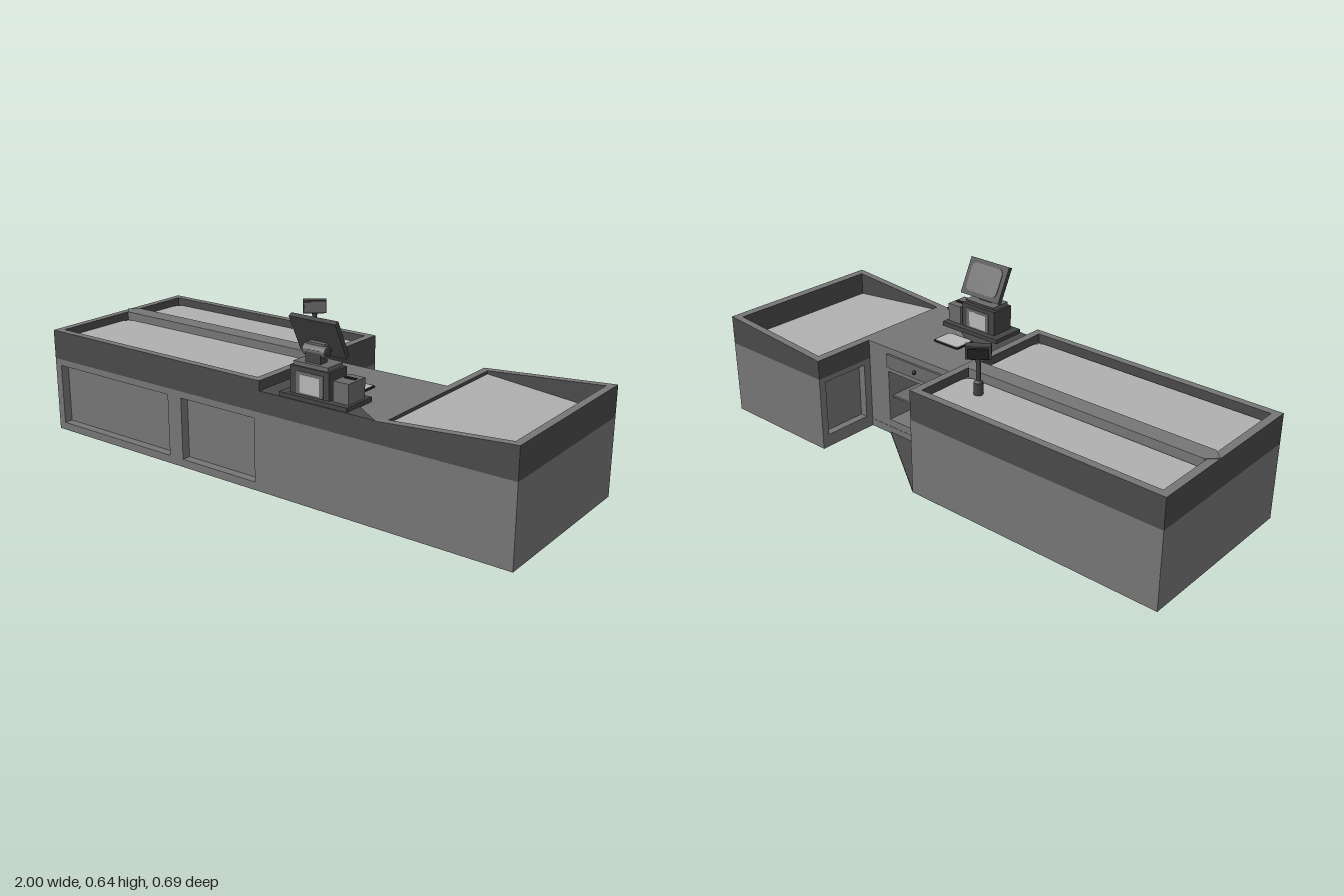
import * as THREE from 'three';

const mat = (name, color) => {
  const m = new THREE.MeshStandardMaterial({ color });
  m.name = name;
  return m;
};

export function createModel() {
  const root = new THREE.Group();
  root.name = 'checkoutCounter';
  const body = mat('bodyGrey', 0x767676);
  const band = mat('bandGrey', 0x4a4a4a);
  const belt = mat('beltGrey', 0xb0b0b0);
  const dark = mat('deviceDark', 0x444444);
  const mid = mat('deviceGrey', 0x6a6a6a);
  const pale = mat('displayPale', 0xb8b8b8);
  const black = mat('trimBlack', 0x222222);

  const add = (name, geo, m, parent = root) => {
    const mesh = new THREE.Mesh(geo, m);
    mesh.name = name;
    parent.add(mesh);
    return mesh;
  };
  // Box from its limits
  const box = (name, m, x0, x1, y0, y1, z0, z1, parent = root) => {
    const g = new THREE.BoxGeometry(x1 - x0, y1 - y0, z1 - z0);
    g.translate((x0 + x1) / 2, (y0 + y1) / 2, (z0 + z1) / 2);
    return add(name, g, m, parent);
  };
  const poly = (pts) => new THREE.Shape(pts.map(([a, b]) => new THREE.Vector2(a, b)));
  const rect = (a0, a1, b0, b1) => poly([[a0, b0], [a1, b0], [a1, b1], [a0, b1]]);
  const rounded = (a0, a1, b0, b1, r) => {
    const s = new THREE.Shape();
    s.absarc(a1 - r, b1 - r, r, 0, Math.PI / 2);
    s.absarc(a0 + r, b1 - r, r, Math.PI / 2, Math.PI);
    s.absarc(a0 + r, b0 + r, r, Math.PI, Math.PI * 1.5);
    s.absarc(a1 - r, b0 + r, r, Math.PI * 1.5, Math.PI * 2);
    return s;
  };
  const extrude = (shape, depth, holes = []) => {
    shape.holes.push(...holes);
    return new THREE.ExtrudeGeometry(shape, { depth, bevelEnabled: false, curveSegments: 6 });
  };
  // Horizontal slab: shape is drawn in (x, -z)
  const slab = (shape, y0, y1, holes) =>
    extrude(shape, y1 - y0, holes).rotateX(-Math.PI / 2).translate(0, y0, 0);

  const Z = 0.344, H = 0.403, B = 0.29, T = 0.365;

  // Lower body of the belt section
  box('beltBody', body, -1, 0.03, 0, B, -Z, 0.31);
  // Front skin with two recessed panels
  add('frontSkin', extrude(rect(-1, 0.5, 0, B), Z - 0.31,
    [rect(-0.97, -0.4, 0.03, 0.265), rect(-0.335, 0.005, 0.03, 0.265)]).translate(0, 0, 0.31), body);

  // Belt surround, recess floor and the two belts
  add('beltRim', slab(rect(-1, 0.03, -Z, Z), B, H, [rect(-0.97, 0.0, -0.315, 0.315)]), [body, band]);
  box('beltBed', body, -0.98, 0.01, B, 0.368, -0.32, 0.32);
  [[-0.305, 0.012], [0.09, 0.31]].forEach(([b0, b1], i) =>
    add(i ? 'rearBelt' : 'frontBelt', slab(rounded(-0.965, -0.005, b0, b1, 0.035), 0.368, 0.374), belt));
  // Divider between the belts with tapered ends
  add('beltDivider', slab(poly([[-1, 0.05], [-0.965, 0.015], [-0.005, 0.015], [0.03, 0.05],
    [-0.005, 0.085], [-0.965, 0.085]]), 0.366, H + 0.002), body);

  // Cashier section, open at the rear
  box('cashierTop', body, 0.03, 0.5, 0.35, T, -0.09, 0.31);
  box('cashierFrontBand', [band, band, body, band, band, band], 0.03, 0.5, B, T, 0.31, Z);
  box('cashierFloor', body, 0.03, 0.5, 0, 0.03, -0.09, 0.31);
  box('cashierCore', body, 0.03, 0.5, 0.03, 0.35, 0.12, 0.31);
  add('cashierRearFrame', extrude(rect(0.03, 0.5, 0.03, 0.35), 0.21,
    [rect(0.1, 0.4, 0.06, 0.265)]).translate(0, 0, -0.089), body);
  box('drawerFront', mid, 0.1, 0.4, 0.285, 0.34, -0.098, -0.088);
  add('drawerKnob', new THREE.SphereGeometry(0.008, 10, 8).translate(0.25, 0.312, -0.102), black);
  box('nicheShelf', mid, 0.1, 0.4, 0.15, 0.158, -0.07, 0.12);
  // Floor plate beside the cashier
  add('footPlate', slab(poly([[0.03, 0.09], [0.4, 0.09], [0.03, Z]]), 0, 0.006), band);
  // Dark inlay on the counter top
  add('counterInlay', slab(poly([[0.0, 0], [0.0, -Z], [0.5, -Z]]), T - 0.003, T + 0.002), band);
  // Scanner window
  add('scannerFrame', slab(rounded(0.188, 0.314, -0.16, -0.066, 0.012), T, T + 0.004), black);
  add('scannerGlass', slab(rounded(0.194, 0.308, -0.154, -0.072, 0.01), T, T + 0.006), pale);

  // Bagging section with a side recess
  box('baggingBody', body, 0.53, 1, 0, B, -Z, Z);
  add('baggingSideSkin', extrude(rect(-Z, Z, 0, B), 0.03, [rect(0.12, 0.315, 0.05, 0.27)])
    .rotateY(Math.PI / 2).translate(0.5, 0, 0), body);
  // Rim and tray floor slope along x
  const slope = (g, limit, f) => {
    const p = g.attributes.position;
    for (let i = 0; i < p.count; i++) if (p.getY(i) > limit) p.setY(i, f(p.getX(i)));
    g.computeVertexNormals();
    return g;
  };
  add('baggingRim', slope(slab(rect(0.5, 1, -Z, Z), B, H, [rect(0.53, 0.97, -0.315, 0.315)]), 0.35,
    (x) => T + (x - 0.5) * 2 * (H - T)), [body, band]);
  add('baggingTray', slope(slab(rounded(0.525, 0.975, -0.318, 0.318, 0.01), 0.28, 0.36), 0.3,
    (x) => 0.355 - (x - 0.53) * 0.1), belt);

  // Cash register
  const reg = new THREE.Group();
  reg.name = 'cashRegister';
  root.add(reg);
  box('registerBase', dark, 0.112, 0.388, T, 0.382, 0.2, 0.34, reg);
  box('registerBody', dark, 0.145, 0.305, 0.382, 0.477, 0.224, 0.322, reg);
  [0.322, 0.224].forEach((z) => {
    box('registerPanelFrame', mid, 0.172, 0.282, 0.385, 0.462, z - 0.003, z + 0.003, reg);
    box('registerPanel', pale, 0.187, 0.267, 0.39, 0.452, z - 0.004, z + 0.004, reg);
  });
  box('printer', mid, 0.317, 0.378, 0.382, 0.453, 0.224, 0.316, reg);
  box('printerSlot', black, 0.327, 0.368, 0.453, 0.456, 0.255, 0.27, reg);
  // Wedge plate under the neck
  add('neckPlate', extrude(poly([[-0.315, 0.477], [-0.24, 0.477], [-0.23, 0.491], [-0.315, 0.491]]), 0.14)
    .rotateY(Math.PI / 2).translate(0.155, 0, 0), mid, reg);
  box('neck', dark, 0.195, 0.255, 0.491, 0.535, 0.264, 0.302, reg);
  add('hinge', new THREE.CylinderGeometry(0.02, 0.02, 0.09, 12).rotateZ(Math.PI / 2)
    .translate(0.225, 0.53, 0.283), mid, reg);
  add('hingePin', new THREE.CylinderGeometry(0.013, 0.013, 0.098, 12).rotateZ(Math.PI / 2)
    .translate(0.225, 0.53, 0.283), dark, reg);
  box('monitorBracket', mid, 0.19, 0.26, 0.528, 0.556, 0.252, 0.288, reg);
  const monitor = new THREE.Group();
  monitor.name = 'monitor';
  monitor.position.set(0.222, 0.575, 0.266);
  monitor.rotation.x = 0.46;
  reg.add(monitor);
  box('monitorCase', dark, -0.094, 0.094, -0.072, 0.072, -0.009, 0.009, monitor);
  add('monitorScreen', extrude(rounded(-0.075, 0.075, -0.055, 0.055, 0.02), 0.004)
    .translate(0, 0, -0.012), mid, monitor);

  // Card reader on a stand
  const reader = new THREE.Group();
  reader.name = 'cardReader';
  reader.position.set(-0.125, 0, -0.167);
  root.add(reader);
  const post = (name, r0, r1, y0, y1) =>
    add(name, new THREE.CylinderGeometry(r1, r0, y1 - y0, 8).translate(0, (y0 + y1) / 2, 0), dark, reader);
  post('standFoot', 0.017, 0.017, 0.37, 0.42);
  post('standCollar', 0.017, 0.009, 0.42, 0.428);
  post('standPole', 0.008, 0.008, 0.428, 0.5);
  post('standCap', 0.01, 0.012, 0.495, 0.508);
  const head = new THREE.Group();
  head.name = 'readerHead';
  head.rotation.y = 0.67;
  reader.add(head);
  box('readerCase', dark, -0.044, 0.044, 0.508, 0.556, -0.012, 0.022, head);
  box('readerFace', mid, -0.039, 0.039, 0.513, 0.551, 0.018, 0.025, head);
  box('readerBack', black, -0.036, 0.036, 0.514, 0.55, -0.022, -0.012, head);

  return root;
}
